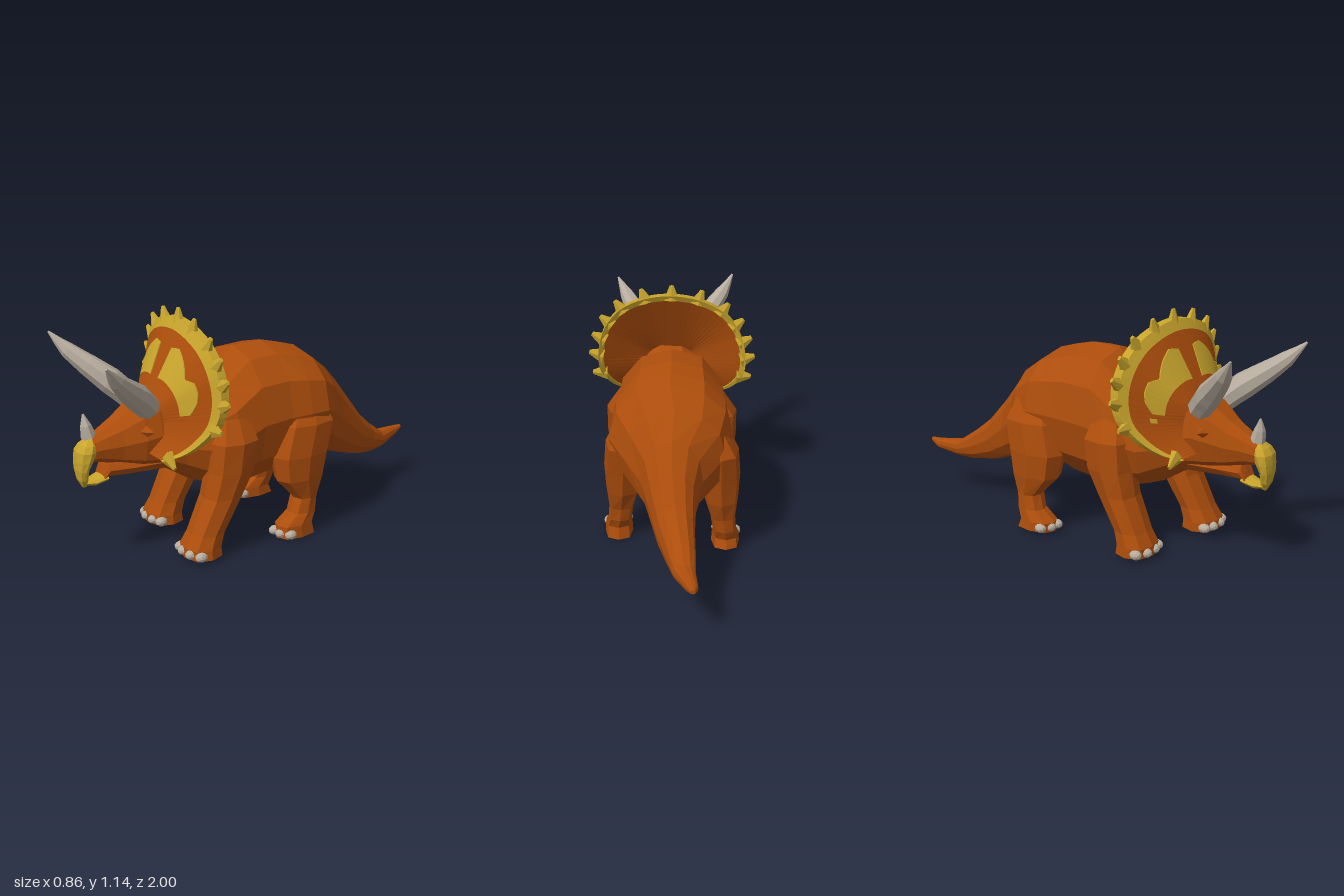
import * as THREE from 'three';

const flat = (name, color) => new THREE.MeshStandardMaterial({ name, color, flatShading: true });
const V = (x, y, z) => new THREE.Vector3(x, y, z);

// Skin a list of equal-length closed rings and cap both ends
function loft(rings) {
  const n = rings[0].length, pos = [];
  const tri = (...pts) => pts.forEach(p => pos.push(p.x, p.y, p.z));
  for (let i = 0; i < rings.length - 1; i++) {
    for (let j = 0; j < n; j++) {
      const k = (j + 1) % n;
      const a = rings[i][j], b = rings[i][k], c = rings[i + 1][k], d = rings[i + 1][j];
      tri(a, b, c);
      tri(a, c, d);
    }
  }
  const cap = (ring, flip) => {
    const m = ring.reduce((s, p) => s.add(p), V(0, 0, 0)).divideScalar(n);
    ring.forEach((p, j) => {
      const q = ring[(j + 1) % n];
      flip ? tri(q, p, m) : tri(p, q, m);
    });
  };
  cap(rings[0], true);
  cap(rings[rings.length - 1], false);
  const g = new THREE.BufferGeometry();
  g.setAttribute('position', new THREE.Float32BufferAttribute(pos, 3));
  g.computeVertexNormals();
  return g;
}

// Closed ring of n points; a lower power gives a boxier outline
const around = (n, power, fn) => Array.from({ length: n }, (_, j) => {
  const a = (j / n) * Math.PI * 2, soft = v => Math.sign(v) * Math.abs(v) ** power;
  return fn(soft(Math.cos(a)), soft(Math.sin(a)));
});
// Upright section: z, centre x, top, bottom, half width
const sectionZ = n => ([z, cx, top, bottom, rx]) =>
  around(n, 0.9, (c, s) => V(cx + rx * c, (top + bottom) / 2 + s * (top - bottom) / 2, z));
// Level section: y, centre x, centre z, half width, half depth
const sectionY = n => ([y, cx, cz, rx, rz]) => around(n, 0.75, (c, s) => V(cx + rx * c, y, cz - rz * s));

// Value at u (0..1) along an evenly spaced list
function sample(list, u) {
  const k = THREE.MathUtils.clamp(u, 0, 1) * (list.length - 1), b = Math.min(Math.floor(k), list.length - 2);
  return THREE.MathUtils.lerp(list[b], list[b + 1], k - b);
}

// Tapered horn along a curve
function hornGeometry(points, radii, n = 8, steps = 8) {
  const curve = new THREE.CatmullRomCurve3(points.map(p => V(...p)));
  const f = curve.computeFrenetFrames(steps);
  const rings = [];
  for (let i = 0; i <= steps; i++) {
    const r = sample(radii, i / steps), p = curve.getPointAt(i / steps);
    rings.push(around(n, 1, (c, s) => p.clone().addScaledVector(f.normals[i], r * c).addScaledVector(f.binormals[i], r * s)));
  }
  return loft(rings);
}

// Frill: half outlines from the crown (t = 0) to the jaw (t = 8)
const mirrorCurve = half => new THREE.CatmullRomCurve3([
  ...half.slice(1).reverse().map(([x, y, z]) => V(-x, y, z)),
  ...half.map(p => V(...p)),
]);
const rimCurve = mirrorCurve([[0, 1.09, .462], [.14, 1.07, .462], [.26, 1.015, .452], [.34, .92, .44],
  [.375, .8, .435], [.37, .68, .46], [.325, .59, .52], [.27, .53, .59], [.21, .5, .66]]);
const neckCurve = mirrorCurve([[0, .75, .63], [.05, .75, .63], [.08, .735, .635], [.1, .72, .64],
  [.11, .69, .64], [.11, .65, .64], [.11, .61, .65], [.11, .57, .67], [.12, .52, .69]]);
function frillPoint(t, s, dz = 0) {
  const u = 0.5 + t / 16;
  const p = neckCurve.getPoint(u).lerp(rimCurve.getPoint(u), s);
  p.z += dz + 0.08 * p.x;
  return p;
}
// Band of the frill between t0..t1, from s = lo(t) to hi(t), with a back edge of its own
function frillBand(t0, t1, lo, hi, front, back, backLo = lo) {
  const rings = [];
  for (let t = t0; t <= t1 + 1e-6; t += 0.25) {
    rings.push([frillPoint(t, lo(t), front), frillPoint(t, backLo(t), back),
      frillPoint(t, hi(t), back), frillPoint(t, hi(t), front)]);
  }
  return loft(rings);
}

export function createModel() {
  const skin = flat('orange skin', 0xac4d0c);
  const yellow = flat('yellow markings', 0xc8a42c);
  const horn = flat('grey horn', 0xb7ac9e);
  const model = new THREE.Group();
  model.name = 'hornedDinosaur';
  const add = (name, geometry, material, parent = model) => {
    const m = new THREE.Mesh(geometry, material);
    m.name = name;
    parent.add(m);
    return m;
  };

  // Body from tail tip to neck
  add('bodyAndTail', loft([
    [-1, -.09, .27, .25, .012], [-.95, -.088, .272, .22, .027], [-.82, -.055, .285, .195, .052],
    [-.72, -.038, .355, .19, .07], [-.61, -.015, .45, .205, .09], [-.5, 0, .58, .24, .112],
    [-.41, 0, .69, .27, .145], [-.31, -.012, .785, .32, .24], [-.2, .005, .865, .34, .295],
    [-.1, .005, .895, .31, .295], [0, 0, .92, .27, .278], [.155, 0, .915, .25, .275],
    [.3, 0, .8, .26, .285], [.42, 0, .715, .30, .25], [.53, 0, .68, .37, .19], [.62, 0, .66, .42, .155],
  ].map(sectionZ(12))), skin);

  // Legs, the right pair stepping further back
  for (const side of [1, -1]) {
    const label = side > 0 ? 'left' : 'right';
    const leg = (name, rows, step, claws) => {
      const g = new THREE.Group();
      g.name = label + name;
      const shift = y => (side > 0 ? 0 : step * (1 - .6 * y));
      add('limb', loft(rows.map(([y, x, z, rx, rz]) => sectionY(8)([y, x * side, z + shift(y), rx, rz]))), skin, g);
      for (const [x, z] of claws) {
        const c = add('claw', new THREE.IcosahedronGeometry(.028, 1), horn, g);
        c.scale.set(.95, .85, 1.1);
        c.position.set(x * side, rows[0][0] + .022, z + shift(0));
      }
      model.add(g);
    };
    leg('FrontLeg', [
      [.015, .232, .5, .105, .088], [.06, .232, .5, .1, .085], [.12, .23, .47, .088, .078],
      [.28, .225, .38, .095, .09], [.4, .23, .335, .1, .112], [.54, .235, .315, .095, .118],
      [.64, .2, .3, .065, .08],
    ], -.075, [[.15, .558], [.2, .572], [.265, .572], [.318, .55]]);
    leg('HindLeg', [
      [side > 0 ? 0 : .015, .265, -.02, .07, .105], [.06, .265, -.015, .066, .095], [.11, .258, -.065, .058, .068],
      [.18, .25, -.085, .06, .058], [.28, .24, -.06, .085, .125], [.4, .235, -.065, .097, .148],
      [.55, .232, -.11, .088, .145], [.66, .19, -.13, .065, .09], [.74, .14, -.15, .04, .05],
    ], -.125, [[.225, .068], [.275, .065], [.318, .04]]);
  }

  // Head and jaws
  const head = new THREE.Group();
  head.name = 'head';
  model.add(head);
  add('skull', loft([
    [.42, 0, .67, .4, .12], [.54, 0, .725, .395, .165], [.64, 0, .785, .405, .155], [.71, 0, .745, .42, .137],
    [.8, -.01, .675, .45, .1], [.88, -.012, .63, .48, .072], [.935, -.015, .6, .49, .055],
    [.975, -.015, .56, .5, .035],
  ].map(sectionZ(10))), skin, head);
  add('lowerJaw', loft([
    [.6, 0, .5, .4, .11], [.75, 0, .49, .405, .085], [.86, -.008, .485, .405, .06], [.885, -.008, .418, .395, .048],
  ].map(sectionZ(8))), skin, head);
  add('lowerBeak', loft([
    [.865, -.008, .428, .392, .055], [.92, -.01, .412, .376, .043], [.97, -.012, .405, .38, .02],
  ].map(sectionZ(8))), yellow, head);
  add('upperBeak', loft([
    [.375, -.01, .965, .012, .01], [.41, -.01, .972, .036, .02], [.46, -.01, .975, .053, .024],
    [.5, -.01, .965, .062, .034], [.545, -.01, .95, .065, .045], [.575, -.01, .938, .052, .038],
    [.6, -.012, .925, .022, .02],
  ].map(sectionY(8))), yellow, head);
  for (const side of [1, -1]) {
    const cheek = add('cheekKnob', new THREE.ConeGeometry(.045, .08, 5), skin, head);
    cheek.position.set(side * .135, .625, .7);
    cheek.rotation.z = -side * 1.45;
  }

  // Horns
  const radii = [.058, .063, .052, .037, .005];
  add('leftBrowHorn', hornGeometry(
    [[.095, .725, .68], [.13, .785, .745], [.2, .87, .855], [.245, .93, .925], [.29, 1, .99]], radii), horn, head);
  add('rightBrowHorn', hornGeometry(
    [[-.095, .725, .665], [-.135, .79, .725], [-.21, .88, .82], [-.275, .95, .89], [-.33, 1.03, .95]], radii), horn, head);
  add('noseHorn', hornGeometry(
    [[-.022, .6, .925], [-.025, .65, .935], [-.035, .71, .943]], [.036, .026, .004], 6, 4), horn, head);

  // Frill shell, rim and patches
  const frill = new THREE.Group();
  frill.name = 'frill';
  model.add(frill);
  const at = v => () => v;
  add('frillShell', frillBand(-8, 8, at(0), at(.9), 0, -.028), skin, frill);
  add('frillRim', frillBand(-8, 8, at(.86), at(1), .005, -.036, at(.91)), yellow, frill);
  const lo = t => .24 + .03 * Math.abs(t);
  const hi = t => sample([.66, .71, .66, .6, .54, .65, .66, .63, .54], (Math.abs(t) - .5) / 4);
  add('leftFrillPatch', frillBand(.5, 4.5, lo, hi, .005, -.003), yellow, frill);
  add('rightFrillPatch', frillBand(-4.5, -.5, lo, hi, .005, -.003), yellow, frill);
  add('frillSpot', frillBand(-5, -4.75, at(.5), at(.59), .005, -.003), yellow, frill);

  // Blunt spikes around the rim
  for (const t of [0, 1, 2, 2.8, 3.55, 4.3, 5.3, 7.8]) {
    for (const side of t ? [1, -1] : [1]) {
      const p = frillPoint(t * side, .97, -.014);
      const dir = V(p.x, p.y - .65, 0).normalize();
      const spike = add('frillSpike', new THREE.CylinderGeometry(.012, .043, .075, 6), yellow, frill);
      spike.quaternion.setFromUnitVectors(V(0, 1, 0), dir);
      spike.scale.z = .65;
      spike.position.copy(p).addScaledVector(dir, .02);
    }
  }
  return model;
}
